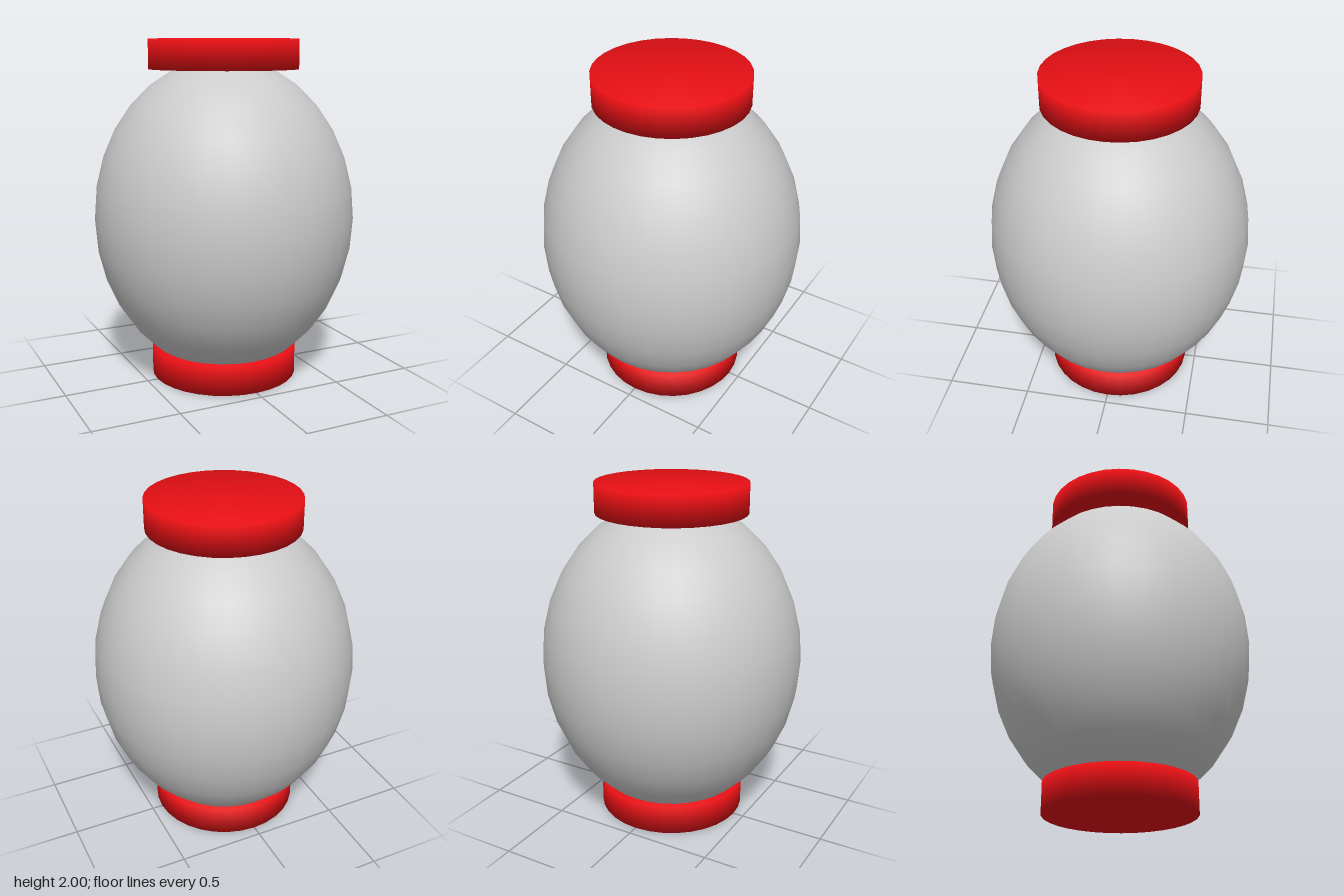
import * as THREE from 'three';

const SIDES = 32;

// Disc with normals shared across its rims, so it shades softly
function makeCap(name, y0, y1, material) {
  const r = 0.436;
  const profile = [[0, y0], [r, y0], [r, y1], [0, y1]].map(([x, y]) => new THREE.Vector2(x, y));
  const cap = new THREE.Mesh(new THREE.LatheGeometry(profile, SIDES), material);
  cap.name = name;
  return cap;
}

export function createModel() {
  const group = new THREE.Group();
  group.name = 'paperLantern';
  const paper = new THREE.MeshStandardMaterial({ color: 0xcccccc });
  const red = new THREE.MeshStandardMaterial({ color: 0xe60f14 });

  // Egg-shaped paper body
  const bodyGeometry = new THREE.SphereGeometry(1, SIDES, 16);
  bodyGeometry.scale(0.765, 0.93, 0.765);
  bodyGeometry.translate(0, 0.967, 0);
  const body = new THREE.Mesh(bodyGeometry, paper);
  body.name = 'lanternBody';

  // Red end caps
  group.add(body, makeCap('bottomCap', 0, 0.175, red), makeCap('topCap', 1.828, 2, red));
  return group;
}
